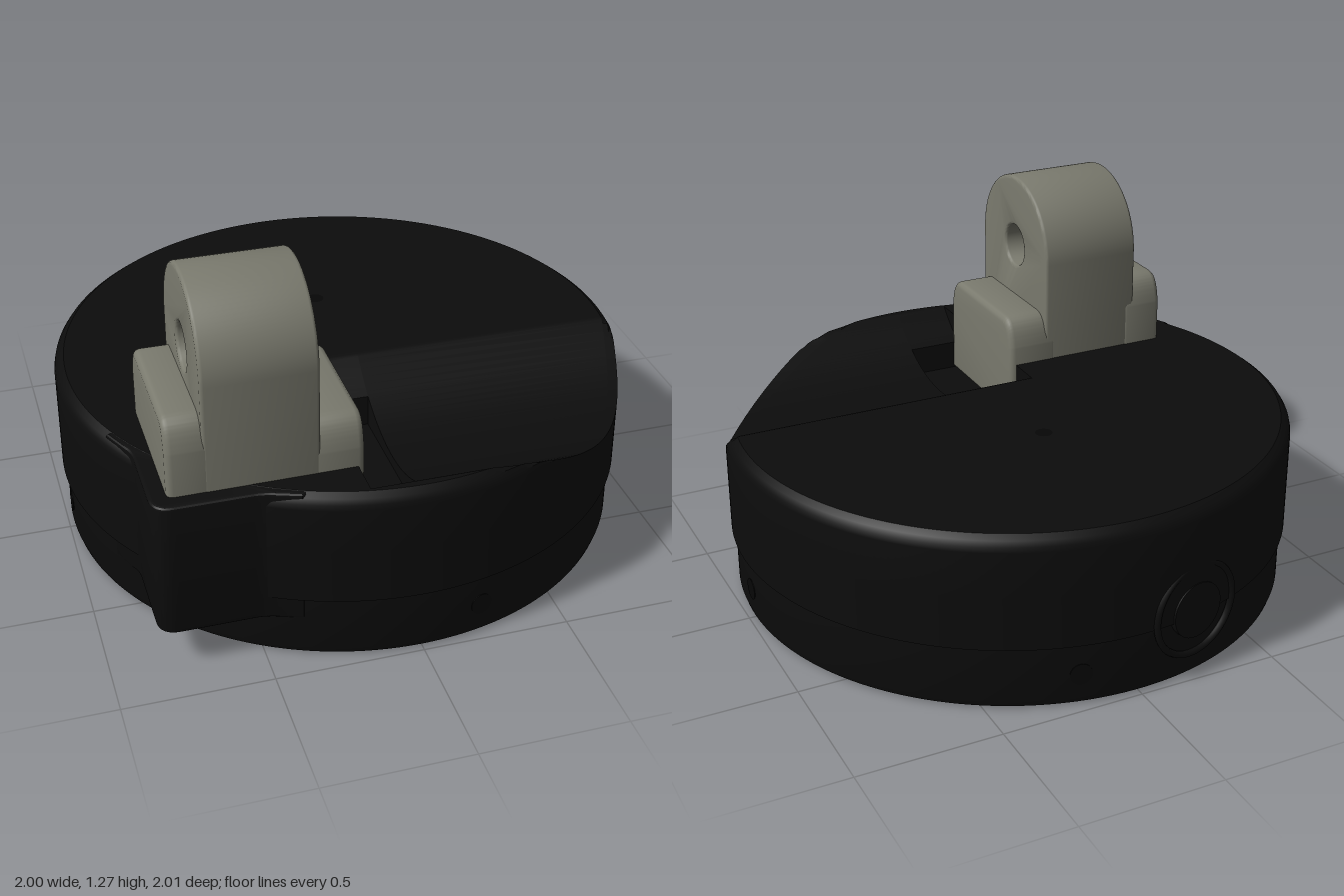
import * as THREE from 'three';
import { toCreasedNormals } from 'three/addons/utils/BufferGeometryUtils.js';

const TOP = 0.63, RIM = 0.965, SEG = 256;
const PIVOT_Y = 1.0, PIVOT_Z = 0.545, SWING = 0.54;
const TROUGH_X = -0.17, POCKET_X = 0.03;

// height of the swing-clearance trough, capped at the lid height
function floorY(z) {
  const d = z - PIVOT_Z;
  if (Math.abs(d) >= SWING) return TOP;
  return Math.min(TOP, PIVOT_Y - Math.sqrt(SWING * SWING - d * d));
}

// turned wall and underside, lowered where the trough runs out through the rim
function wallGeometry() {
  const profile = [[0, 0], [0.96, 0], [0.978, 0.008], [0.985, 0.03], [0.985, 0.23], [1, 0.23], [1, 0.42],
    [1, 0.58], [0.996, 0.598], [0.985, 0.615], [RIM, TOP]].map(p => new THREE.Vector2(...p));
  const geo = new THREE.LatheGeometry(profile, SEG);
  const p = geo.attributes.position;
  for (let i = 0; i < p.count; i++) {
    if (p.getX(i) > TROUGH_X) p.setY(i, Math.min(p.getY(i), floorY(p.getZ(i))));
  }
  return toCreasedNormals(geo, 0.5);
}

// lid built from rows across x: flat part, trough and pocket
function lidGeometry() {
  const rows = [0.156, 0.275, 0.2755, 0.805, 0.8055, 0.934];
  for (let i = 0; i <= SEG / 2; i++) rows.push(RIM * Math.cos((i / SEG) * Math.PI * 2));
  rows.sort((a, b) => a - b);
  const pos = [], index = [], cols = 6;
  rows.forEach((z, r) => {
    const w = Math.sqrt(Math.max(0, RIM * RIM - z * z));
    const low = floorY(z);
    const pocket = z > 0.2752 && z < 0.8052 ? 0.42 : low;
    [[-w, TOP], [TROUGH_X, TOP], [TROUGH_X, pocket], [POCKET_X, pocket], [POCKET_X, low], [w, low]]
      .forEach(([x, y]) => pos.push(Math.min(w, Math.max(-w, x)), y, z));
    if (r === 0) return;
    for (let c = 0; c < cols - 1; c++) {
      const a = (r - 1) * cols + c, b = a + cols;
      index.push(a, b, b + 1, a, b + 1, a + 1);
    }
  });
  const geo = new THREE.BufferGeometry();
  geo.setAttribute('position', new THREE.Float32BufferAttribute(pos, 3));
  geo.setIndex(index);
  return toCreasedNormals(geo, 0.5);
}

// extrude a (z, y) outline along x between x0 and x1 with softened edges
function extrudeX(shape, x0, x1, bevel) {
  const geo = new THREE.ExtrudeGeometry(shape, {
    depth: x1 - x0 - 2 * bevel, bevelThickness: bevel, bevelSize: bevel, bevelOffset: -bevel,
    bevelSegments: 3, curveSegments: 24,
  });
  geo.rotateY(-Math.PI / 2).translate(x1 - bevel, 0, 0);
  return toCreasedNormals(geo, 0.6);
}

// tab outline with rounded upper corners
function tabShape(y0, y1) {
  const a = 0.275, b = 0.812, s = new THREE.Shape();
  s.moveTo(a, y0).lineTo(b, y0).lineTo(b, y1 - 0.11);
  s.bezierCurveTo(b - 0.01, y1 - 0.05, b - 0.025, y1, b - 0.08, y1);
  s.lineTo(a + 0.08, y1);
  s.bezierCurveTo(a + 0.025, y1, a + 0.01, y1 - 0.05, a, y1 - 0.11);
  return s;
}

export function createModel() {
  const group = new THREE.Group();
  const black = new THREE.MeshStandardMaterial({ color: 0x0c0c0c });
  const dark = new THREE.MeshStandardMaterial({ color: 0x060606 });
  const grey = new THREE.MeshStandardMaterial({ color: 0x7a7a6e });
  const add = (name, geo, mat) => {
    const mesh = new THREE.Mesh(geo, mat);
    mesh.name = name;
    group.add(mesh);
    return mesh;
  };

  add('discWall', wallGeometry(), black);
  add('discLid', lidGeometry(), black);

  // corner pod that carries the lever
  const pod = new THREE.Shape();
  pod.moveTo(-0.5, 0.2).lineTo(-0.9, 0.4).lineTo(-0.855, 0.5);
  pod.quadraticCurveTo(-0.84, 0.525, -0.84, 0.57).lineTo(-0.84, 0.8);
  pod.quadraticCurveTo(-0.84, 0.868, -0.77, 0.868).lineTo(-0.53, 0.868);
  pod.quadraticCurveTo(-0.49, 0.868, -0.45, 0.885).lineTo(-0.38, 0.91).lineTo(-0.25, 0.85).lineTo(-0.25, 0.4);
  const podGeo = new THREE.ExtrudeGeometry(pod, {
    depth: 0.46, bevelThickness: 0.012, bevelSize: 0.012, bevelOffset: -0.012, bevelSegments: 3,
  });
  podGeo.rotateX(Math.PI / 2).translate(0, TOP - 0.013, 0);
  add('leverPod', toCreasedNormals(podGeo, 0.5), black);

  // lever: bored upright with a tab on each side
  const upright = new THREE.Shape();
  upright.moveTo(PIVOT_Z - 0.268, 0.5).lineTo(PIVOT_Z + 0.268, 0.5).lineTo(PIVOT_Z + 0.268, PIVOT_Y);
  upright.absarc(PIVOT_Z, PIVOT_Y, 0.268, 0, Math.PI, false);
  const bore = new THREE.Path();
  bore.absarc(PIVOT_Z, PIVOT_Y, 0.078, 0, Math.PI * 2, true);
  upright.holes.push(bore);
  // the bore keeps its straight wall, so the edge softening stays small
  add('leverUpright', extrudeX(upright, -0.667, -0.293, 0.012), grey);
  add('rightTab', extrudeX(tabShape(0.5, 0.89), -0.783, -0.62, 0.022), grey);
  add('leftTab', extrudeX(tabShape(0.42, 0.805), -0.34, -0.147, 0.022), grey);

  // round fittings set on the wall: direction in plan (x, z), height, radius
  const onWall = (name, geo, mat, x, z, y, r) => {
    const mesh = add(name, geo, mat);
    const l = Math.hypot(x, z);
    mesh.position.set((x / l) * r, y, (z / l) * r);
    mesh.rotation.y = Math.atan2(x, z);
  };
  const stud = (r, d) => new THREE.CylinderGeometry(r, r, d, 32).rotateX(Math.PI / 2);
  [[0.21, 0.98], [1, 0], [-1, 0], [0.21, -0.98]].forEach(([x, z]) => {
    onWall('screwRecess', stud(0.038, 0.02), dark, x, z, 0.115, 0.977);
  });
  onWall('portRing', new THREE.TorusGeometry(0.165, 0.012, 8, 48), black, -0.21, -0.98, 0.25, 0.988);
  onWall('portButton', stud(0.1, 0.03), black, -0.21, -0.98, 0.25, 0.988);

  // small hole in the lid
  const hole = add('lidHole', new THREE.CircleGeometry(0.03, 24).rotateX(-Math.PI / 2), dark);
  hole.position.set(0, TOP + 0.001, -0.285);

  return group;
}
